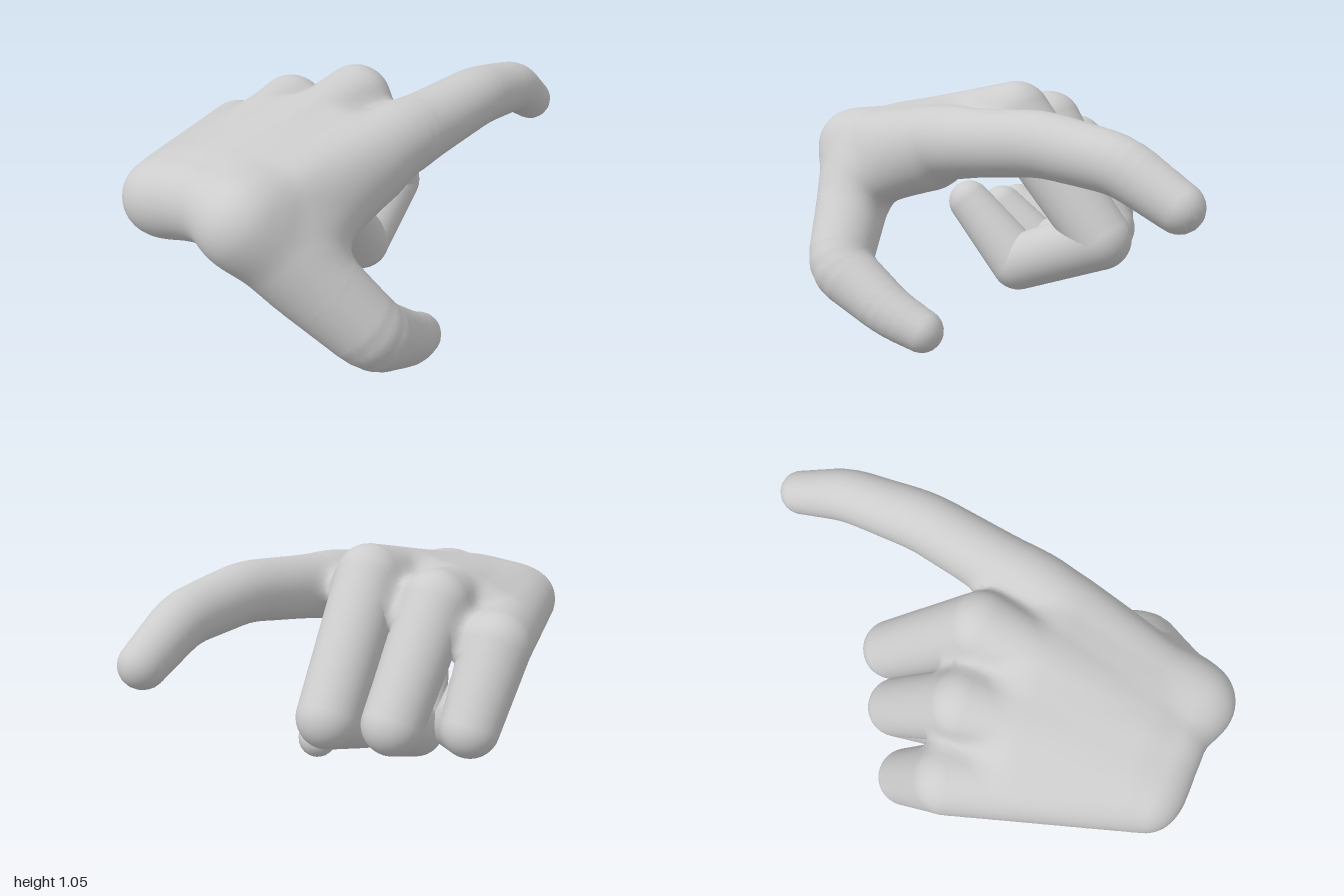
import * as THREE from 'three';

// Joints are [x, y, z, radius], listed from the wrist to the fingertip.
const index = [[-0.835, 0.72, 0.21, 0.14], [-0.12, 0.835, 0.272, 0.145], [0.02, 0.85, 0.275, 0.13],
  [0.37, 0.893, 0.275, 0.118], [0.7, 0.86, 0.24, 0.104], [0.915, 0.745, 0.2, 0.087]];
const thumb = [[-0.825, 0.715, 0.21, 0.15], [-0.685, 0.515, 0.345, 0.152], [-0.55, 0.295, 0.522, 0.13],
  [-0.285, 0.147, 0.467, 0.102], [-0.155, 0.09, 0.415, 0.087]];
const thumbWeb = [[-0.64, 0.63, 0.28, 0.135], [-0.28, 0.75, 0.255, 0.13]];
const curled = {
  middleFinger: [[-0.82, 0.74, 0.04, 0.135], [-0.04, 0.917, 0, 0.136], [0.316, 0.46, -0.108, 0.122], [-0.02, 0.317, 0.01, 0.112], [-0.23, 0.55, 0.085, 0.085]],
  ringFinger: [[-0.83, 0.73, -0.08, 0.135], [-0.12, 0.845, -0.27, 0.136], [0.172, 0.44, -0.305, 0.12], [-0.1, 0.315, -0.2, 0.112], [-0.26, 0.49, -0.13, 0.085]],
  littleFinger: [[-0.84, 0.71, -0.195, 0.142], [-0.19, 0.71, -0.508, 0.136], [-0.01, 0.43, -0.53, 0.113], [-0.16, 0.355, -0.36, 0.102], [-0.33, 0.465, -0.29, 0.08]],
};

const lerpJoint = (a, b, t) => a.map((v, i) => v + (b[i] - v) * t);
const smoothMin = (a, b, k) => {
  const h = Math.max(k - Math.abs(a - b), 0) / k;
  return Math.min(a, b) - h * h * k * 0.25;
};

// Replaces each inner joint with a short curve, so bends are soft
function softenBends(chain) {
  const out = [chain[0]];
  for (let i = 1; i + 1 < chain.length; i++) {
    const j = chain[i];
    const [before, after] = [chain[i - 1], chain[i + 1]].map((o) =>
      lerpJoint(j, o, Math.min(0.45, 0.07 / Math.hypot(o[0] - j[0], o[1] - j[1], o[2] - j[2]))));
    for (const t of [0, 0.33, 0.67, 1]) out.push(lerpJoint(lerpJoint(before, j, t), lerpJoint(j, after, t), t));
  }
  return [...out, chain[chain.length - 1]];
}

// Distance from a point to one tapered bone
function boneDistance(x, y, z, a, b) {
  const bx = b[0] - a[0], by = b[1] - a[1], bz = b[2] - a[2];
  const px = x - a[0], py = y - a[1], pz = z - a[2];
  const t = Math.min(1, Math.max(0, (px * bx + py * by + pz * bz) / (bx * bx + by * by + bz * bz)));
  return Math.hypot(px - bx * t, py - by * t, pz - bz * t) - a[3] - (b[3] - a[3]) * t;
}

// Chains of bones blended into one skin
function skinField(chains) {
  return (x, y, z) => {
    let skin = 10;
    for (const chain of chains) {
      let d = 10;
      for (let i = 0; i + 1 < chain.length; i++) d = Math.min(d, boneDistance(x, y, z, chain[i], chain[i + 1]));
      skin = smoothMin(skin, d, 0.08);
    }
    return skin;
  };
}

// Meshes a distance field on a grid, then settles the vertices on the surface
function skinGeometry(field, min, max, step) {
  const n = min.map((v, i) => Math.ceil((max[i] - v) / step) + 1);
  const stride = [1, n[0], n[0] * n[1]];
  const values = new Float32Array(n[0] * n[1] * n[2]);
  const each = (fn, lo, trim) => {
    for (let k = lo; k < n[2] - trim; k++)
      for (let j = lo; j < n[1] - trim; j++)
        for (let i = lo; i < n[0] - trim; i++) fn([i, j, k], i + j * stride[1] + k * stride[2]);
  };
  each((c, id) => { values[id] = field(...c.map((v, a) => min[a] + v * step)); }, 0, 0);

  const gradient = (p) => {
    const e = 0.006;
    return new THREE.Vector3(
      field(p.x + e, p.y, p.z) - field(p.x - e, p.y, p.z),
      field(p.x, p.y + e, p.z) - field(p.x, p.y - e, p.z),
      field(p.x, p.y, p.z + e) - field(p.x, p.y, p.z - e)).normalize();
  };

  const positions = [], normals = [], indices = [];
  const cellVertex = new Int32Array(values.length).fill(-1);
  each((c, id) => {
    const sum = new THREE.Vector3();
    let count = 0;
    for (let corner = 0; corner < 8; corner++) {
      for (let a = 0; a < 3; a++) {
        if (corner & (1 << a)) continue;
        const o = [corner & 1, (corner >> 1) & 1, corner >> 2];
        const v0 = id + o[0] + o[1] * stride[1] + o[2] * stride[2];
        const d0 = values[v0], d1 = values[v0 + stride[a]];
        if ((d0 < 0) === (d1 < 0)) continue;
        o[a] = d0 / (d0 - d1);
        sum.add(new THREE.Vector3(...o));
        count++;
      }
    }
    if (!count) return;
    const p = sum.divideScalar(count).add(new THREE.Vector3(...c)).multiplyScalar(step).add(new THREE.Vector3(...min));
    for (let pass = 0; pass < 2; pass++) p.addScaledVector(gradient(p), -field(p.x, p.y, p.z));
    cellVertex[id] = positions.length / 3;
    positions.push(p.x, p.y, p.z);
    normals.push(...gradient(p).toArray());
  }, 0, 1);

  each((c, id) => {
    for (let a = 0; a < 3; a++) {
      const inside = values[id] < 0;
      if (inside === (values[id + stride[a]] < 0)) continue;
      const b = stride[(a + 1) % 3], d = stride[(a + 2) % 3];
      const q = [id, id - b, id - b - d, id - d].map((v) => cellVertex[v]);
      if (!inside) q.reverse();
      indices.push(q[0], q[1], q[2], q[0], q[2], q[3]);
    }
  }, 1, 1);

  const geometry = new THREE.BufferGeometry();
  geometry.setAttribute('position', new THREE.Float32BufferAttribute(positions, 3));
  geometry.setAttribute('normal', new THREE.Float32BufferAttribute(normals, 3));
  geometry.setIndex(indices);
  return geometry;
}

// A tapered rod with round ends between two joints
function boneMesh(a, b, material) {
  const start = new THREE.Vector3(...a), axis = new THREE.Vector3(...b).sub(start);
  const length = axis.length(), tilt = Math.asin((a[3] - b[3]) / length), steps = 10;
  const profile = [];
  const arc = (from, to, r, y) => {
    for (let i = 0; i <= steps; i++) {
      const t = from + (to - from) * i / steps;
      profile.push(new THREE.Vector2(Math.max(0, r * Math.cos(t)), y + r * Math.sin(t)));
    }
  };
  arc(-Math.PI / 2, tilt, a[3], 0);
  arc(tilt, Math.PI / 2, b[3], length);
  const mesh = new THREE.Mesh(new THREE.LatheGeometry(profile, 36), material);
  mesh.position.copy(start);
  mesh.quaternion.setFromUnitVectors(new THREE.Vector3(0, 1, 0), axis.normalize());
  return mesh;
}

export function createModel() {
  const model = new THREE.Group();
  model.name = 'pointingHand';
  const skin = new THREE.MeshStandardMaterial({ color: 0xcccccc });
  skin.name = 'light grey skin';

  // Knuckle stubs of the curled fingers, and flesh filling the grooves between neighbours
  const stubs = Object.values(curled).map((f) => [f[0], f[1], lerpJoint(f[1], f[2], 0.2)]);
  const rays = [index, ...stubs];
  const fillers = stubs.map((ray, i) => {
    const [wrist, knuckle] = [0, 1].map((j) => lerpJoint(rays[i][j], ray[j], 0.5));
    return [0.15, 0.7].map((t) => [...lerpJoint(wrist, knuckle, t).slice(0, 3), 0.118]);
  });

  // Palm, thumb and pointing finger share one blended skin
  const field = skinField([softenBends(index), ...stubs, ...fillers, softenBends(thumb), thumbWeb]);
  const palm = new THREE.Mesh(skinGeometry(field, [-1.08, -0.06, -0.74], [1.08, 1.14, 0.74], 0.024), skin);
  palm.name = 'palmThumbAndIndexFinger';
  model.add(palm);

  // Curled fingers
  for (const [name, joints] of Object.entries(curled)) {
    const finger = new THREE.Group();
    finger.name = name;
    ['proximalSegment', 'middleSegment', 'tipSegment'].forEach((part, i) => {
      const bone = boneMesh(joints[i + 1], joints[i + 2], skin);
      bone.name = part;
      finger.add(bone);
    });
    model.add(finger);
  }
  return model;
}
